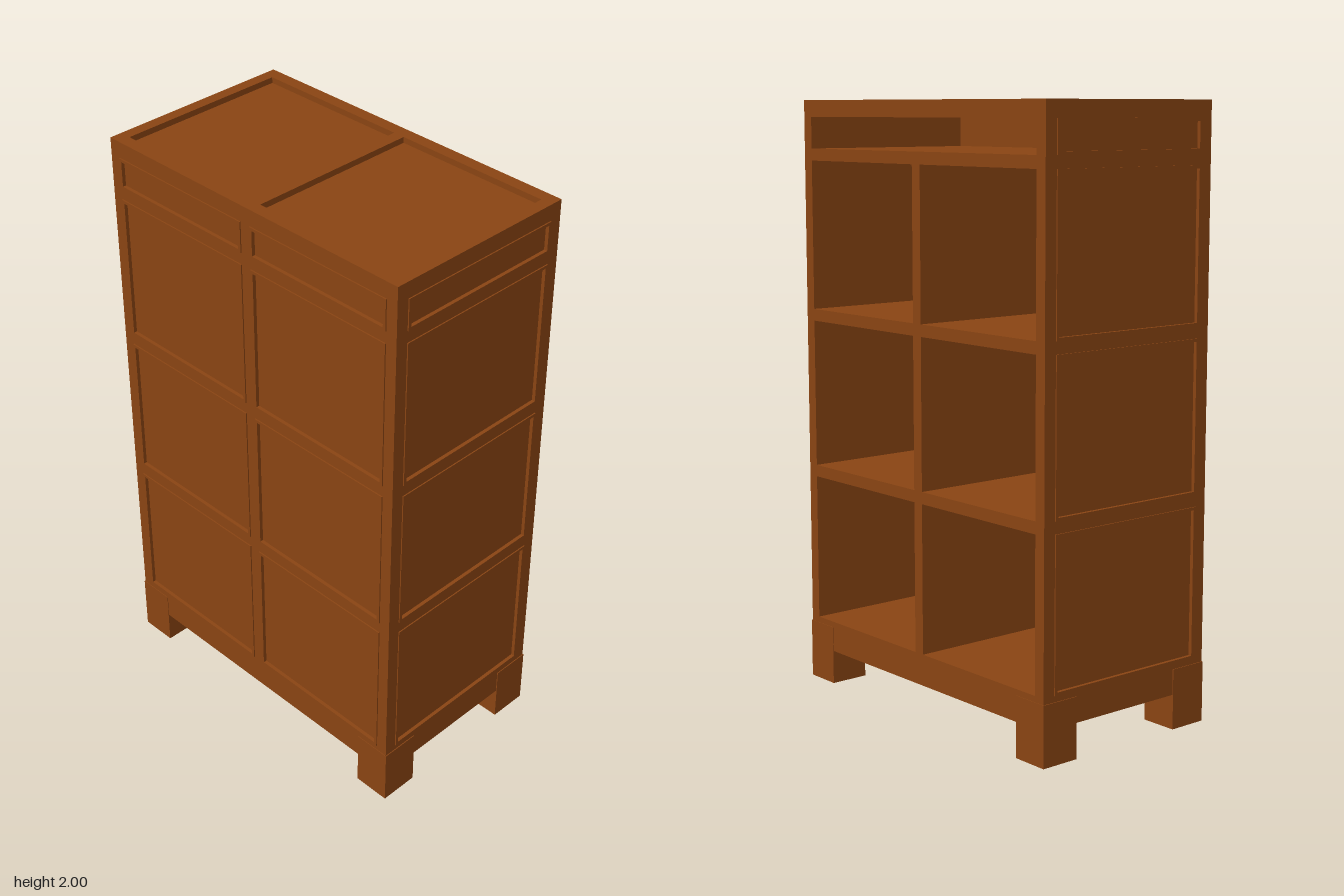
import * as THREE from 'three';

const wood = new THREE.MeshStandardMaterial({ color: 0x8b4513 });

// Half sizes of the carcass and its main levels
const X = 0.343, Z = 0.61, TOP = 2, BOTTOM = 0.115;
const RECESS = 0.008, BEAD = 0.01, PROUD = 0.004;
const rows = [[0.22, 0.72], [0.76, 1.26], [1.3, 1.8], [1.84, 1.945]];
const columns = [[-0.57, -0.02], [0.02, 0.57]];

function box(parent, name, x0, x1, y0, y1, z0, z1) {
  const mesh = new THREE.Mesh(new THREE.BoxGeometry(x1 - x0, y1 - y0, z1 - z0), wood);
  mesh.position.set((x0 + x1) / 2, (y0 + y1) / 2, (z0 + z1) / 2);
  mesh.name = name;
  parent.add(mesh);
}

function rect(Type, u0, u1, v0, v1) {
  return new Type([[u0, v0], [u1, v0], [u1, v1], [u0, v1]].map(([u, v]) => new THREE.Vector2(u, v)));
}

// A rectangular plate with rectangular openings, extruded along local z
function plate(parent, name, outer, openings, depth) {
  const shape = rect(THREE.Shape, ...outer);
  shape.holes = openings.map((o) => rect(THREE.Path, ...o));
  const mesh = new THREE.Mesh(new THREE.ExtrudeGeometry(shape, { depth, bevelEnabled: false }), wood);
  mesh.name = name;
  parent.add(mesh);
}

// Rail-and-stile face with a thin bead around every sunken panel
function panelledFace(name, outer, openings, depth, beaded) {
  const face = new THREE.Group();
  face.name = name;
  plate(face, 'railsAndStiles', outer, openings, depth);
  if (beaded) {
    for (const [a, b, c, d] of openings) {
      plate(face, 'panelBead', [a, b, c, d], [[a + BEAD, b - BEAD, c + BEAD, d - BEAD]], depth + PROUD);
    }
  }
  return face;
}

export function createModel() {
  const model = new THREE.Group();
  model.name = 'bookcase';
  const xi = X - RECESS, zi = Z - RECESS;

  // Base, top and back boards
  box(model, 'base', -xi, X, BOTTOM, 0.22, -zi, zi);
  box(model, 'topBoard', -xi, X, 1.945, 1.98, -zi, zi);
  box(model, 'backBoard', -xi, -0.3, 0.22, 1.945, -zi, zi);

  // End boards
  for (const s of [-1, 1]) {
    const [z0, z1] = s > 0 ? [0.57, zi] : [-zi, -0.57];
    box(model, 'endBoard', -0.3, X, 0.22, 1.945, z0, z1);
  }

  // Shelves and the upright divider
  for (let i = 0; i < 3; i++) {
    box(model, 'shelf', -0.3, X, rows[i][1], rows[i + 1][0], -0.57, 0.57);
    box(model, 'divider', -0.3, X, rows[i][0], rows[i][1], -0.02, 0.02);
  }

  // Panelled ends, facing +z and -z
  const endOpenings = rows.map((r) => [-0.3, 0.3, ...r]);
  for (const s of [-1, 1]) {
    const end = panelledFace('panelledEnd', [-X, X, BOTTOM, TOP], endOpenings, RECESS, true);
    end.position.z = s * zi;
    if (s < 0) end.rotation.y = Math.PI;
    model.add(end);
  }

  // Panelled back, facing -x
  const backOpenings = rows.flatMap((r) => columns.map((c) => [...c, ...r]));
  const back = panelledFace('panelledBack', [-zi, zi, BOTTOM, TOP], backOpenings, RECESS, true);
  back.position.x = -xi;
  back.rotation.y = -Math.PI / 2;
  model.add(back);

  // Panelled top with two sunken fields
  const topOpenings = columns.map((c) => [-0.3, 0.3, ...c]);
  const top = panelledFace('panelledTop', [-xi, X, -zi, zi], topOpenings, 0.02, false);
  top.position.y = 1.98;
  top.rotation.x = -Math.PI / 2;
  model.add(top);

  // Corner feet, a hair proud of the carcass
  for (const sx of [-1, 1]) {
    for (const sz of [-1, 1]) {
      const [x0, x1] = sx > 0 ? [0.21, X + 0.002] : [-X - 0.002, -0.21];
      const [z0, z1] = sz > 0 ? [0.485, Z + 0.003] : [-Z - 0.003, -0.485];
      box(model, 'foot', x0, x1, 0, 0.2, z0, z1);
    }
  }
  return model;
}
